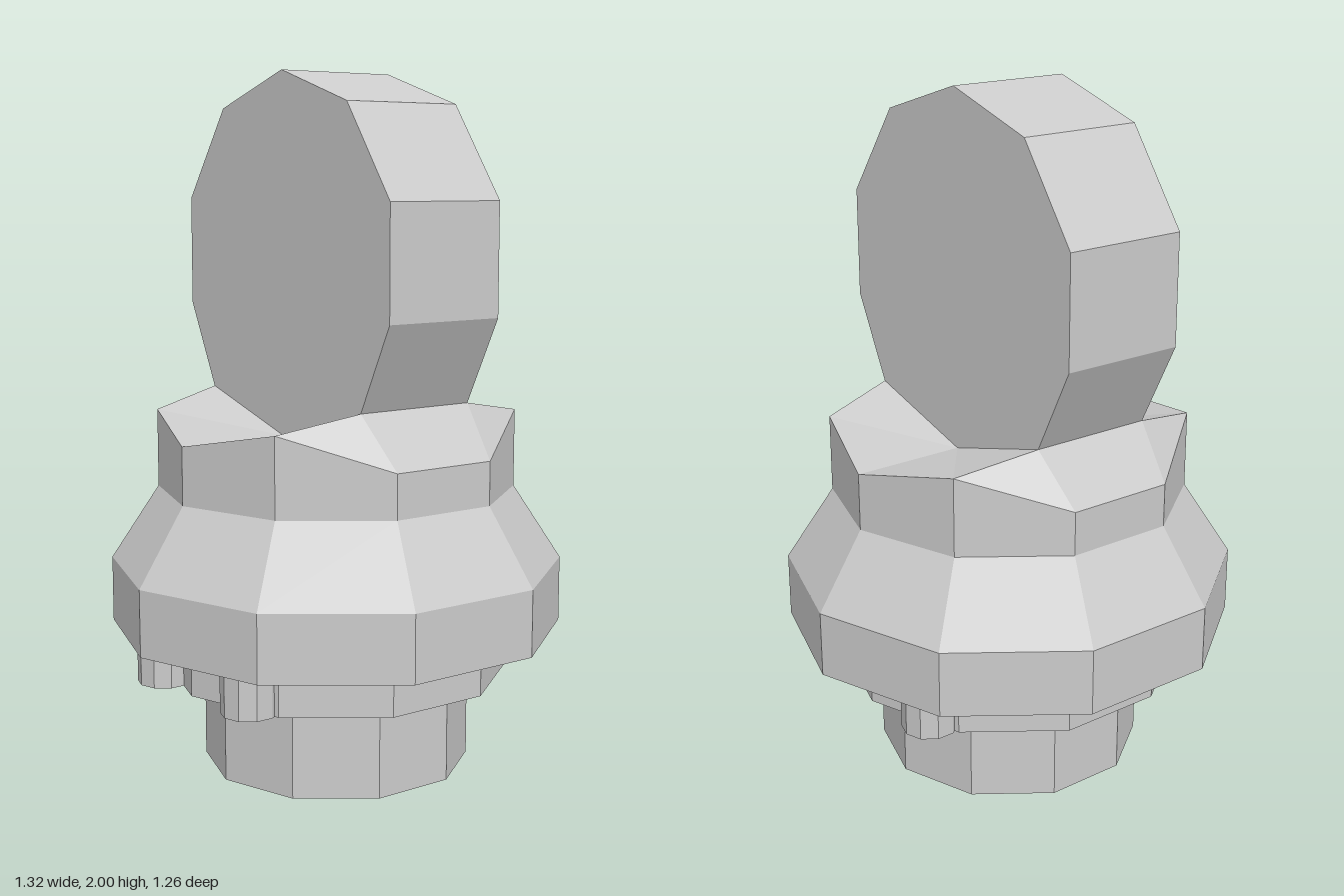
import * as THREE from 'three';

const SIDES = 10;

function createMaterial() {
  return new THREE.MeshStandardMaterial({ color: 0xcccccc, flatShading: true });
}

// Upright ten-sided prism with a corner on the x axis
function prism(name, radius, y0, y1, x = 0, z = 0) {
  const geo = new THREE.CylinderGeometry(radius, radius, y1 - y0, SIDES);
  geo.rotateY(Math.PI / 2);
  const mesh = new THREE.Mesh(geo, createMaterial());
  mesh.name = name;
  mesh.position.set(x, (y0 + y1) / 2, z);
  return mesh;
}

// Flared ten-sided body whose rim rises and dips to form a saddle
function saddleBody(halfWidth) {
  const pos = [];
  const tri = (...pts) => pts.forEach((p) => pos.push(...p));
  const rimHeights = [0.98, 1.04, 0.94, 0.94, 1.04];
  const ring = (radius, height) => Array.from({ length: SIDES }, (_, i) => {
    const a = (i / SIDES) * Math.PI * 2;
    return [Math.cos(a) * radius, height(i), Math.sin(a) * radius];
  });
  const rings = [
    ring(0.66, () => 0.41),
    ring(0.66, () => 0.6),
    ring(0.52, () => 0.815),
    ring(0.52, (i) => rimHeights[i % 5]),
  ];

  // Walls and underside
  for (let i = 0; i < SIDES; i++) {
    const j = (i + 1) % SIDES;
    for (let r = 0; r < rings.length - 1; r++) {
      const lo = rings[r], up = rings[r + 1];
      tri(lo[i], up[i], lo[j]);
      tri(up[i], up[j], lo[j]);
    }
    tri([0, 0.41, 0], rings[0][i], rings[0][j]);
  }

  // Saddle top: one quarter, mirrored four ways
  const [A, B, E] = rings[3];
  const C = [halfWidth, 1.085, 0.367], D = [halfWidth, 0.98, 0];
  const M = [0, 1.085, 0.367], N = [0, 0.94, E[2]];
  const faces = [[A, D, B], [D, C, B], [C, E, B], [C, M, E], [M, N, E]];
  for (const sx of [1, -1]) for (const sz of [1, -1]) {
    for (const face of faces) {
      const pts = face.map(([x, y, z]) => [x * sx, y, z * sz]);
      tri(...(sx * sz > 0 ? pts : pts.reverse()));
    }
  }

  const geo = new THREE.BufferGeometry();
  geo.setAttribute('position', new THREE.Float32BufferAttribute(pos, 3));
  geo.computeVertexNormals();
  const mesh = new THREE.Mesh(geo, createMaterial());
  mesh.name = 'saddleBody';
  return mesh;
}

// Upright ten-sided disc resting in the saddle
function uprightDisc(halfWidth) {
  const half = [[0, 0.98], [0.367, 1.085], [0.49, 1.33], [0.49, 1.645], [0.303, 1.905], [0, 2]];
  const mirrored = half.slice(1, -1).reverse().map(([x, y]) => [-x, y]);
  const shape = new THREE.Shape([...half, ...mirrored].map(([x, y]) => new THREE.Vector2(x, y)));
  const geo = new THREE.ExtrudeGeometry(shape, { depth: halfWidth * 2, bevelEnabled: false });
  geo.translate(0, 0, -halfWidth);
  geo.rotateY(Math.PI / 2);
  const mesh = new THREE.Mesh(geo, createMaterial());
  mesh.name = 'uprightDisc';
  return mesh;
}

export function createModel() {
  const model = new THREE.Group();
  model.name = 'discOnSaddleBase';
  const halfWidth = 0.186;

  model.add(prism('foot', 0.39, 0, 0.27));
  model.add(prism('collar', 0.5, 0.27, 0.41));
  model.add(saddleBody(halfWidth));
  model.add(uprightDisc(halfWidth));

  // Small lugs around the collar; the back one on -x sits further out
  const lugs = [[0.445, 0.212], [0.445, -0.212], [-0.445, 0.212], [-0.485, -0.17]];
  for (const [x, z] of lugs) model.add(prism('lug', 0.08, 0.27, 0.41, x, z));

  return model;
}
